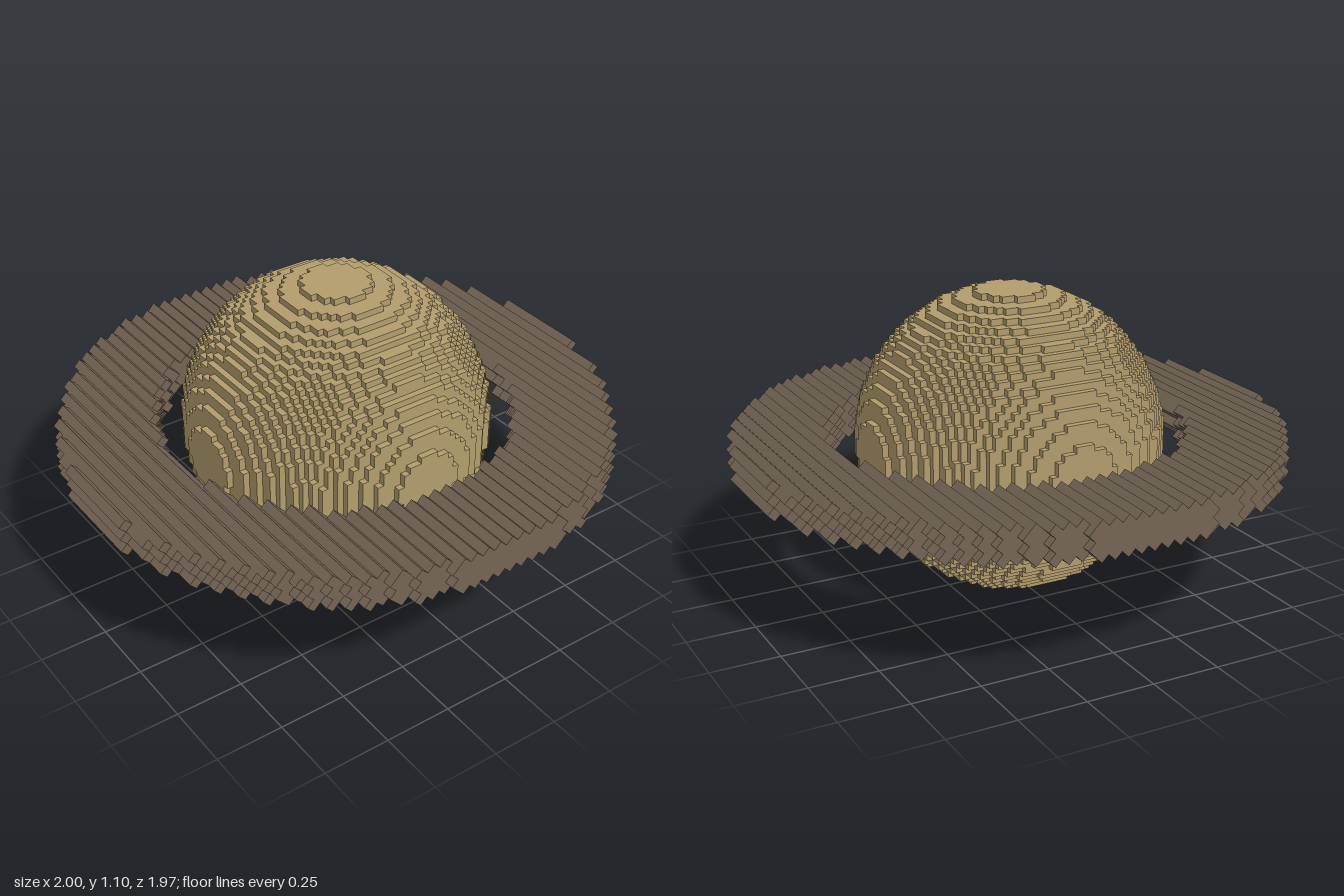
import * as THREE from 'three';
import { mergeGeometries } from 'three/addons/utils/BufferGeometryUtils.js';

// Planet: cubic cells, stacked in flat stepped layers
const CELL = 1.096 / 47;
const PLANET_R2 = 555; // squared radius in cells
const PLANET_Y = 0.548;

// Ring: square bars along z, turned 45 degrees to sit on their edges
const HALF_DIAG = 1 / 41;
const BAR = HALF_DIAG * Math.SQRT2;
const OUTER_R2 = 827, INNER_R2 = 355; // squared radii in bar widths
const RING_Y = 0.535;

// Stepped disc outline made of square cells
function steppedDisc(r2) {
  const m = Math.floor(Math.sqrt(r2));
  const side = [];
  for (let n = -m; n <= m; n++) {
    const w = Math.floor(Math.sqrt(r2 - n * n)) + 0.5;
    side.push([w, n - 0.5], [w, n + 0.5]);
  }
  const outline = [...side, ...side.map(([x, y]) => [-x, y]).reverse()]
    .filter(([x, y], i, a) => i === 0 || x !== a[i - 1][0] || y !== a[i - 1][1]);
  return new THREE.Shape(outline.map(([x, y]) => new THREE.Vector2(x * CELL, y * CELL)));
}

function planetGeometry() {
  const layers = [];
  for (let i = -23; i <= 23; i++) {
    const g = new THREE.ExtrudeGeometry(steppedDisc(PLANET_R2 - i * i), { depth: CELL, bevelEnabled: false });
    g.rotateX(-Math.PI / 2);
    g.translate(0, (i - 0.5) * CELL, 0);
    layers.push(g);
  }
  return mergeGeometries(layers);
}

// One bar covering z cells from..to
function bar(k, j, from, to) {
  const g = new THREE.BoxGeometry(BAR, BAR, (to - from + 1) * BAR);
  g.rotateZ(Math.PI / 4);
  g.translate(k * HALF_DIAG, j * HALF_DIAG, ((from + to) / 2) * BAR);
  return g;
}

function ringGeometry() {
  const bars = [];
  for (let j = -2; j <= 2; j++) {
    for (let k = -40; k <= 40; k++) {
      if ((k + j) % 2 !== 0) continue;
      const x2 = (k * k) / 2;
      const outer = Math.floor(Math.sqrt(OUTER_R2 - x2));
      if (x2 >= INNER_R2) {
        bars.push(bar(k, j, -outer, outer));
      } else {
        // bars crossing the hole split in two
        const inner = Math.ceil(Math.sqrt(INNER_R2 - x2));
        bars.push(bar(k, j, inner, outer), bar(k, j, -outer, -inner));
      }
    }
  }
  return mergeGeometries(bars);
}

export function createModel() {
  const sand = new THREE.MeshStandardMaterial({ color: 0xb39d6d });
  sand.name = 'sand';
  const brown = new THREE.MeshStandardMaterial({ color: 0x746556 });
  brown.name = 'dusty brown';

  const planet = new THREE.Mesh(planetGeometry(), sand);
  planet.name = 'planet';
  planet.position.y = PLANET_Y;

  const ring = new THREE.Mesh(ringGeometry(), brown);
  ring.name = 'ring';
  ring.position.y = RING_Y;

  const model = new THREE.Group();
  model.name = 'ringedPlanet';
  model.add(planet, ring);
  return model;
}
